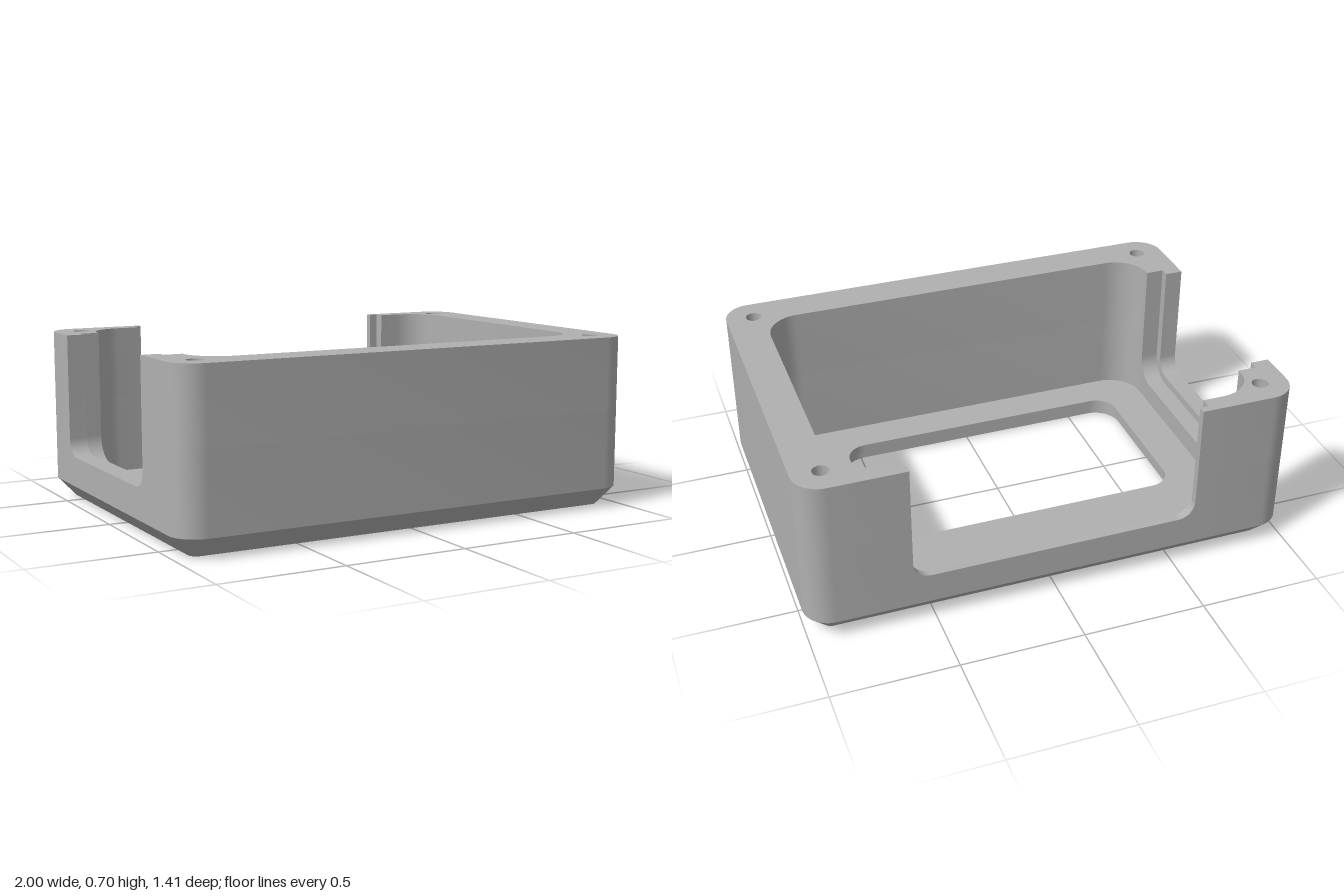
import * as THREE from 'three';
import { toCreasedNormals } from 'three/addons/utils/BufferGeometryUtils.js';

const X = 1, Z = 0.705, TOP = 0.705, FLOOR = 0.08, R = 0.11;
const CAVITY = { x0: -0.85, x1: 0.85, z0: -0.63, z1: 0.55, r: 0.14 };
const HOLE_DEPTH = 0.3;

// Closed path through right-angled corners [x, y, radius]
function filletShape(points) {
  const shape = new THREE.Shape();
  const n = points.length;
  points.forEach(([x, y, r = 0], i) => {
    const p = new THREE.Vector2(x, y);
    const toward = (q, d) => p.clone().add(new THREE.Vector2(q[0] - x, q[1] - y).setLength(d));
    const prev = points[(i + n - 1) % n], next = points[(i + 1) % n];
    const a = r ? toward(prev, r) : p;
    if (i === 0) shape.moveTo(a.x, a.y); else shape.lineTo(a.x, a.y);
    if (r) {
      const k = r * 0.4477;
      const c1 = toward(prev, k), c2 = toward(next, k), b = toward(next, r);
      shape.bezierCurveTo(c1.x, c1.y, c2.x, c2.y, b.x, b.y);
    }
  });
  shape.closePath();
  return shape;
}

function extrude(shape, depth) {
  return new THREE.ExtrudeGeometry(shape, { depth, bevelEnabled: false, curveSegments: 12 });
}

// Rounded rectangle in plan at height y, grown by g
function ring({ x0, x1, z0, z1, r }, g, y) {
  const pts = [], n = 12, rad = r + g;
  const corners = [[x1 - r, z1 - r], [x0 + r, z1 - r], [x0 + r, z0 + r], [x1 - r, z0 + r]];
  corners.forEach(([cx, cz], c) => {
    for (let i = 0; i <= n; i++) {
      const a = (c + i / n) * Math.PI / 2;
      pts.push([cx + rad * Math.cos(a), y, cz + rad * Math.sin(a)]);
    }
  });
  return pts;
}

// Skin over successive rings, closing back to the first
function loft(rings) {
  const pos = [];
  rings.forEach((p, j) => {
    const q = rings[(j + 1) % rings.length];
    for (let k = 0; k < p.length; k++) {
      const m = (k + 1) % p.length;
      pos.push(...p[k], ...q[k], ...q[m], ...p[k], ...q[m], ...p[m]);
    }
  });
  const geo = new THREE.BufferGeometry();
  geo.setAttribute('position', new THREE.Float32BufferAttribute(pos, 3));
  return geo;
}

// U-shaped frame: panel from a to b with an opening cut down to the sill
function frameShape(a, b, openA, openB, sill, r) {
  const pts = [[a, FLOOR], [b, FLOOR]];
  const sideB = b > openB, sideA = a < openA;
  if (sideB) pts.push([b, TOP], [openB, TOP]);
  else pts.push([b, sill + r + 0.02]);
  pts.push([openB, sill, r], [openA, sill, r]);
  if (sideA) pts.push([openA, TOP], [a, TOP]);
  else pts.push([a, sill + r + 0.02]);
  return filletShape(pts);
}

export function createModel() {
  const group = new THREE.Group();
  const grey = new THREE.MeshStandardMaterial({ color: 0xb0b0b0 });
  grey.name = 'grey';

  function add(name, geo) {
    const mesh = new THREE.Mesh(toCreasedNormals(geo, 0.5), grey);
    mesh.name = name;
    group.add(mesh);
  }

  // Chamfered floor with window, rebate and shallow seal groove underneath
  const win = { x0: -0.685, x1: 0.575, z0: -0.305, z1: 0.4, r: 0.09 };
  const outer = { x0: -X, x1: X, z0: -Z, z1: Z, r: R };
  add('floor', loft([
    ring(win, 0, FLOOR), ring(win, 0, 0.045),
    ring(win, 0.02, 0.045), ring(win, 0.02, 0),
    ring(win, 0.055, 0), ring(win, 0.055, 0.012),
    ring(win, 0.085, 0.012), ring(win, 0.085, 0),
    ring(outer, -0.075, 0), ring(outer, 0, FLOOR),
  ]));

  // Walls in plan (shape y is -z), split by the back and side openings
  const { x0, x1, z0, z1, r } = CAVITY;
  const mainWall = [
    [0.62, Z], [0.62, -z0], [x1, -z0, r], [x1, -z1, r], [x0, -z1, r],
    [x0, -0.4], [-X, -0.4], [-X, -Z, R], [X, -Z, R], [X, Z, R],
  ];
  const cornerPost = [
    [-0.62, Z], [-X, Z, R], [-X, 0.48], [x0, 0.48], [x0, -z0, r], [-0.62, -z0],
  ];
  const screws = [[0.885, 0.593], [0.885, -0.593], [-0.885, -0.593]];
  const walls = [
    ['mainWall', mainWall, screws],
    ['cornerPost', cornerPost, [[-0.885, 0.593]]],
  ];
  for (const [name, pts, holes] of walls) {
    const split = TOP - HOLE_DEPTH;
    const lower = extrude(filletShape(pts), split - FLOOR);
    add(name + 'Lower', lower.rotateX(-Math.PI / 2).translate(0, FLOOR, 0));
    // Upper part carries the blind screw holes
    const shape = filletShape(pts);
    for (const [hx, hy] of holes) {
      shape.holes.push(new THREE.Path().absarc(hx, hy, 0.033, 0, Math.PI * 2, true));
    }
    add(name + 'Upper', extrude(shape, HOLE_DEPTH).rotateX(-Math.PI / 2).translate(0, split, 0));
  }

  // Back opening: narrow outer frame and wider inner rebate
  add('backFrameOuter',
    extrude(frameShape(-0.62, 0.62, -0.585, 0.585, 0.205, 0.07), 0.03).translate(0, 0, -Z));
  add('backFrameInner',
    extrude(frameShape(-0.62, 0.62, -0.62, 0.62, 0.17, 0.1), 0.045).translate(0, 0, -0.675));

  // Side opening, same construction turned onto the -x wall
  add('sideFrameOuter',
    extrude(frameShape(-0.48, 0.4, -0.442, 0.362, 0.205, 0.07), 0.075)
      .rotateY(-Math.PI / 2).translate(-0.925, 0, 0));
  add('sideFrameInner',
    extrude(frameShape(-0.48, 0.4, -0.48, 0.4, 0.17, 0.1), 0.075)
      .rotateY(-Math.PI / 2).translate(-0.85, 0, 0));

  return group;
}
